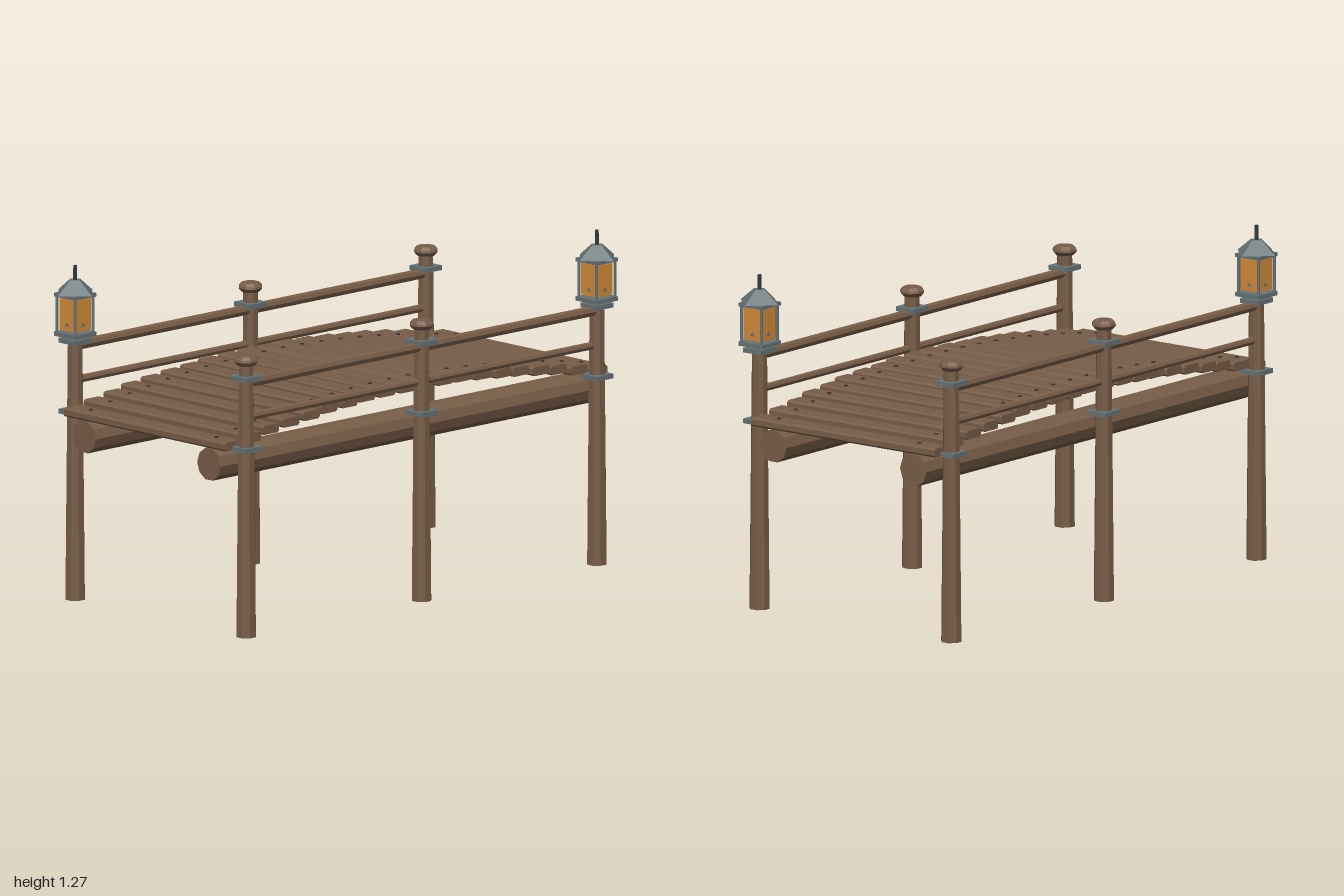
import * as THREE from 'three';

const mat = (name, color) => {
  const m = new THREE.MeshStandardMaterial({ color });
  m.name = name;
  m.flatShading = true;
  return m;
};

export function createModel() {
  const wood = mat('brown wood', 0x785d47);
  const steel = mat('grey steel', 0x667376);
  const iron = mat('dark iron', 0x30393c);
  const amber = mat('amber glass', 0xd28a38);
  const root = new THREE.Group();
  root.name = 'footbridge';

  const add = (parent, name, geo, material, x = 0, y = 0, z = 0) => {
    const mesh = new THREE.Mesh(geo, material);
    mesh.name = name;
    mesh.position.set(x, y, z);
    parent.add(mesh);
    return mesh;
  };
  const cyl = (top, bottom, h, sides) => new THREE.CylinderGeometry(top, bottom, h, sides);

  // Two log beams running the full length
  const beamGeo = cyl(0.0625, 0.0625, 1.96, 10).rotateY(Math.PI / 2).rotateX(Math.PI / 2);
  for (const s of [-1, 1]) add(root, 'logBeam', beamGeo, wood, s * 0.332, 0.645, 0);

  // Chamfered planks, laid in a shallow arch with uneven ends
  const plankGeo = (length) => {
    const w = 0.042, h = 0.017, c = 0.007;
    const shape = new THREE.Shape([
      [-w + c, -h], [w - c, -h], [w, -h + c], [w, h - c],
      [w - c, h], [-w + c, h], [-w, h - c], [-w, -h + c],
    ].map(([x, y]) => new THREE.Vector2(x, y)));
    return new THREE.ExtrudeGeometry(shape, { depth: length, bevelEnabled: false })
      .translate(0, 0, -length / 2).rotateY(Math.PI / 2);
  };
  const nailGeo = cyl(0.008, 0.008, 0.012, 6);
  const count = 20;
  for (let i = 0; i < count; i++) {
    const z = -0.943 + (i * 1.886) / (count - 1);
    const y = 0.81 - 0.097 * z * z;
    const left = 0.432 - ((i * 7) % 5) * 0.003;
    const right = 0.438 - ((i * 3) % 4) * 0.003;
    add(root, 'plank', plankGeo(left + right), wood, (left - right) / 2, y, z);
    for (const s of [-1, 1]) add(root, 'nail', nailGeo, iron, s * 0.333, y + 0.015, z);
  }

  // Posts with square collars; wooden caps where there is no lantern
  const capGeo = new THREE.LatheGeometry([
    [0, 1.03], [0.034, 1.03], [0.047, 1.045], [0.045, 1.054], [0.034, 1.065], [0, 1.065],
  ].map(([r, y]) => new THREE.Vector2(r, y)), 8).rotateY(Math.PI / 8);
  const collarGeo = new THREE.BoxGeometry(0.086, 0.018, 0.086);

  const makeLantern = () => {
    const g = new THREE.Group();
    g.name = 'lantern';
    add(g, 'basePlate', new THREE.BoxGeometry(0.112, 0.016, 0.112), steel, 0, 1.007);
    add(g, 'topPlate', new THREE.BoxGeometry(0.112, 0.014, 0.112), steel, 0, 1.155);
    add(g, 'glass', new THREE.BoxGeometry(0.083, 0.12, 0.083), amber, 0, 1.082);
    for (const sx of [-1, 1]) for (const sz of [-1, 1])
      add(g, 'cornerBar', cyl(0.006, 0.006, 0.14, 6), steel, sx * 0.047, 1.082, sz * 0.047);
    // Small triangular vents on each pane
    const vent = new THREE.Shape([[-0.012, 0], [0.012, 0], [0, 0.016]].map(([x, y]) => new THREE.Vector2(x, y)));
    const ventGeo = new THREE.ShapeGeometry(vent).translate(0, 1.04, 0.0425);
    for (let k = 0; k < 4; k++) add(g, 'vent', ventGeo, steel).rotation.y = (k * Math.PI) / 2;
    // Four-sided roof set corner-on, and its finial
    add(g, 'roof', cyl(0.026, 0.089, 0.05, 4), steel, 0, 1.187);
    add(g, 'finial', cyl(0.007, 0.008, 0.06, 6), iron, 0, 1.237);
    return g;
  };

  for (const sx of [-1, 1]) {
    for (const z of [-0.907, 0, 0.907]) {
      const post = new THREE.Group();
      post.name = 'postAssembly';
      post.position.set(sx * 0.455, 0, z);
      root.add(post);
      const hasLantern = sx * z < -0.5;
      const height = hasLantern ? 1.0 : 1.035;
      add(post, 'post', cyl(0.029, 0.039, height, 8).rotateY(Math.PI / 8), wood, 0, height / 2);
      add(post, 'lowerCollar', collarGeo, steel, 0, 0.713);
      add(post, 'upperCollar', collarGeo, steel, 0, 0.982);
      if (hasLantern) post.add(makeLantern());
      else add(post, 'postCap', capGeo, wood);
    }
    // Upper and lower handrails
    for (const [name, r, y] of [['upperRail', 0.02, 0.963], ['lowerRail', 0.015, 0.832]])
      add(root, name, cyl(r, r, 1.82, 8).rotateX(Math.PI / 2), wood, sx * 0.455, y, 0);
  }
  return root;
}
